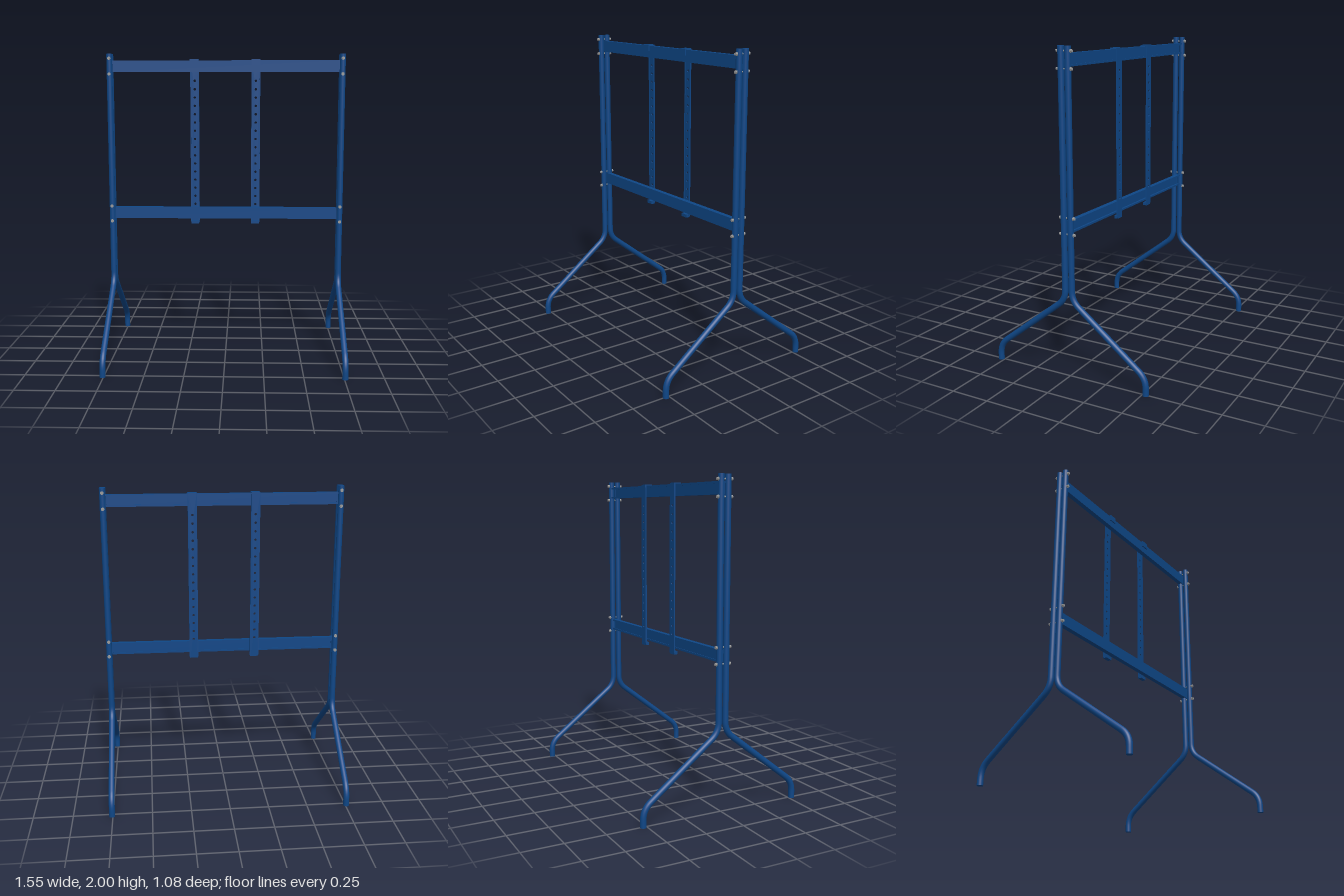
import * as THREE from 'three';

const blue = new THREE.MeshStandardMaterial({ color: 0x0e4686 });
const steel = new THREE.MeshStandardMaterial({ color: 0x999999 });
const POST_X = 0.755, POST_Z = 0.023, TUBE_R = 0.019;
const RAIL_Y = [0.955, 1.921];

function add(parent, name, geometry, material = blue, x = 0, y = 0, z = 0) {
  const mesh = new THREE.Mesh(geometry, material);
  mesh.name = name;
  mesh.position.set(x, y, z);
  parent.add(mesh);
  return mesh;
}

// Box given by its minimum and maximum corners
function box(parent, name, x0, x1, y0, y1, z0, z1) {
  return add(parent, name, new THREE.BoxGeometry(x1 - x0, y1 - y0, z1 - z0), blue,
    (x0 + x1) / 2, (y0 + y1) / 2, (z0 + z1) / 2);
}

// Post bent outwards into a splayed leg with a vertical foot
function leg(side, dir) {
  const group = new THREE.Group();
  group.name = 'leg';
  const p = (y, z) => new THREE.Vector3(0, y, z * dir);
  const corners = [p(2, POST_Z), p(0.495, POST_Z), p(0.105, 0.523), p(0, 0.523)];
  const path = new THREE.CurvePath();
  let from = corners[0];
  for (let i = 1; i < 3; i++) {
    const c = corners[i], t = 0.062;
    const a = c.clone().add(corners[i - 1].clone().sub(c).setLength(t));
    const b = c.clone().add(corners[i + 1].clone().sub(c).setLength(t));
    path.add(new THREE.LineCurve3(from, a));
    path.add(new THREE.QuadraticBezierCurve3(a, c, b));
    from = b;
  }
  path.add(new THREE.LineCurve3(from, corners[3]));
  add(group, 'bentTube', new THREE.TubeGeometry(path, 140, TUBE_R, 20));
  const cap = new THREE.CircleGeometry(TUBE_R, 20);
  add(group, 'topCap', cap, blue, 0, 2, POST_Z * dir).rotation.x = -Math.PI / 2;
  add(group, 'footCap', cap, blue, 0, 0, 0.523 * dir).rotation.x = Math.PI / 2;
  group.position.x = side * POST_X;
  return group;
}

// Lipped C-channel, open towards the back
function rail(y) {
  const h = 0.038, d = 0.032, t = 0.004, lip = 0.012, half = 0.735;
  const profile = new THREE.Shape([
    [0, -h], [d, -h], [d, -h + lip], [d - t, -h + lip], [d - t, -h + t], [t, -h + t],
    [t, h - t], [d - t, h - t], [d - t, h - lip], [d, h - lip], [d, h], [0, h],
  ].map(([a, b]) => new THREE.Vector2(a, b)));
  const g = new THREE.ExtrudeGeometry(profile, { depth: 2 * half, bevelEnabled: false });
  g.translate(0, 0, -half).rotateY(Math.PI / 2);
  const group = new THREE.Group();
  group.name = 'crossRail';
  add(group, 'channel', g);
  // Tabs clamped between the paired posts
  for (const s of [-1, 1]) {
    add(group, 'railTab', new THREE.BoxGeometry(0.03, 0.076, 0.006), blue, s * 0.745, 0, -0.003);
  }
  group.position.y = y;
  return group;
}

// Perforated upright that hooks over the top rail from behind
function mountingBar(x) {
  const group = new THREE.Group();
  group.name = 'mountingBar';
  const w = 0.029, bottom = 0.88, top = 1.966;
  const shape = new THREE.Shape();
  shape.moveTo(-w + 0.005, bottom).lineTo(w - 0.005, bottom).lineTo(w, bottom + 0.008)
    .lineTo(w, top).lineTo(-w, top).lineTo(-w, bottom + 0.008).closePath();
  for (let i = 0; i < 16; i++) {
    const hole = new THREE.Path();
    hole.absarc(0, 1.01 + i * 0.0545, 0.008, 0, Math.PI * 2, true);
    shape.holes.push(hole);
  }
  const plate = new THREE.ExtrudeGeometry(shape, { depth: 0.005, bevelEnabled: false, curveSegments: 6 });
  add(group, 'perforatedPlate', plate, blue, 0, 0, -0.041);
  for (const s of [-1, 1]) {
    box(group, 'sideFlange', s * 0.027 - 0.002, s * 0.027 + 0.002, 0.89, top, -0.041, -0.032);
  }
  box(group, 'hookTop', -w, w, 1.96, top, -0.041, 0.009);
  box(group, 'hookLip', -w, w, 1.925, top, 0.001, 0.009);
  box(group, 'bottomTab', -w + 0.003, w - 0.003, bottom, 0.9, -0.038, -0.014);
  group.position.x = x;
  return group;
}

// Bolt through both posts with a head and washer on each end
function bolt(x, y) {
  const group = new THREE.Group();
  group.name = 'bolt';
  const disc = (name, r, len, sides, z) =>
    add(group, name, new THREE.CylinderGeometry(r, r, len, sides), steel, 0, 0, z).rotation.x = Math.PI / 2;
  disc('shank', 0.005, 0.1, 10, 0);
  for (const s of [-1, 1]) {
    disc('washer', 0.011, 0.003, 16, s * 0.042);
    disc('head', 0.009, 0.011, 6, s * 0.048);
  }
  group.position.set(x, y, 0);
  return group;
}

export function createModel() {
  const model = new THREE.Group();
  model.name = 'displayStand';
  for (const side of [-1, 1]) {
    for (const dir of [-1, 1]) model.add(leg(side, dir));
    for (const y of RAIL_Y) {
      for (const s of [-1, 1]) model.add(bolt(side * POST_X, y + s * 0.05));
    }
  }
  for (const y of RAIL_Y) model.add(rail(y));
  for (const x of [-0.205, 0.197]) model.add(mountingBar(x));
  return model;
}
